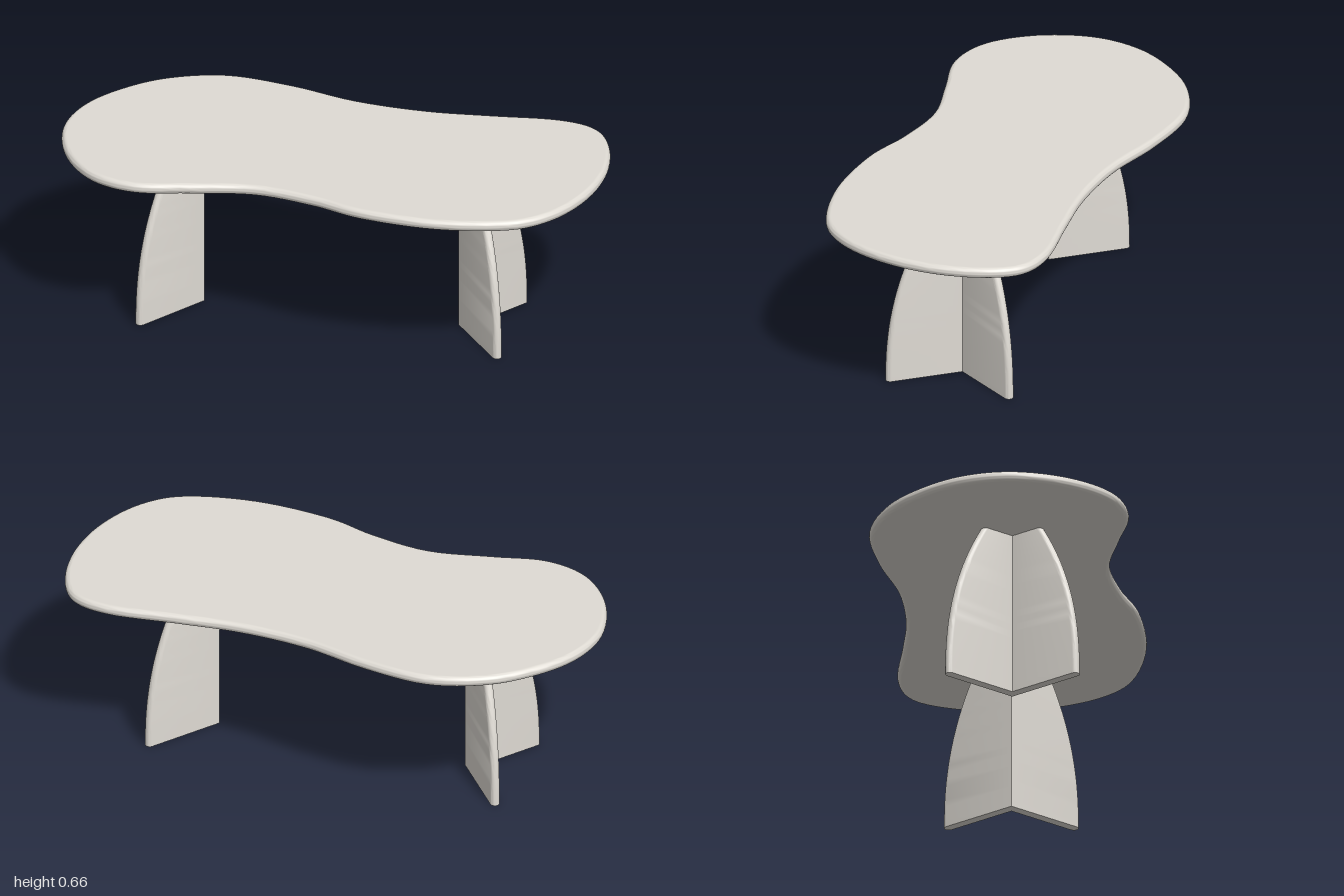
import * as THREE from 'three';
import { toCreasedNormals } from 'three/addons/utils/BufferGeometryUtils.js';

const stone = new THREE.MeshStandardMaterial({ color: 0xdfdbd4 });
stone.name = 'warm grey';

const TOP = 0.663, THICK = 0.04;

// Wavy slab with a fully rounded rim
function tabletop() {
  const outline = [
    [-1, 0.02], [-0.968, -0.16], [-0.87, -0.31], [-0.715, -0.44], [-0.5, -0.508], [-0.25, -0.473],
    [0, -0.4], [0.26, -0.373], [0.5, -0.385], [0.75, -0.402], [0.9, -0.355], [0.975, -0.22],
    [1, -0.03], [0.968, 0.17], [0.88, 0.345], [0.74, 0.453], [0.48, 0.5], [0.2, 0.473],
    [0, 0.405], [-0.22, 0.363], [-0.45, 0.398], [-0.65, 0.432], [-0.82, 0.375], [-0.945, 0.22],
  ].map(([x, z]) => new THREE.Vector3(x, z, 0));
  const curve = new THREE.CatmullRomCurve3(outline, true, 'catmullrom', 0.5);
  const points = curve.getPoints(144).slice(0, -1).map((p) => new THREE.Vector2(p.x, p.y));
  const r = 0.0195;
  let geo = new THREE.ExtrudeGeometry(new THREE.Shape(points), {
    depth: THICK - 2 * r, bevelThickness: r, bevelSize: r, bevelOffset: -r, bevelSegments: 6,
  });
  geo.rotateX(Math.PI / 2);
  geo.translate(0, TOP - r, 0);
  geo = toCreasedNormals(geo, 0.6);
  // keep the flat faces evenly shaded
  const pos = geo.attributes.position, nor = geo.attributes.normal;
  for (let i = 0; i < pos.count; i++) {
    if (pos.getY(i) > TOP - 1e-4) nor.setXYZ(i, 0, 1, 0);
    else if (pos.getY(i) < TOP - THICK + 1e-4) nor.setXYZ(i, 0, -1, 0);
  }
  const mesh = new THREE.Mesh(geo, stone);
  mesh.name = 'tabletop';
  return mesh;
}

// V-shaped cross-section opening toward +x, with rounded tips, at panel length len
function vSection(len) {
  const h = 0.017, a = 0.93, s = Math.sin(a), c = Math.cos(a), half = [];
  for (let i = 0; i <= 8; i++) {
    const t = -Math.PI / 2 + (Math.PI * i) / 8;
    const u = len + h * Math.cos(t), v = h * Math.sin(t);
    half.push([u * c + v * s, u * s - v * c]); // outer side first, inner side last
  }
  const mirrored = half.map(([x, z]) => [x, -z]).reverse();
  return [[-h / s, 0], ...half, [h / s, 0], ...mirrored].map(([x, z]) => new THREE.Vector2(x, z));
}

// Leg lofted from V sections that shorten toward the top
function leg() {
  const rows = 24, height = TOP - THICK / 2, verts = [], index = [];
  const foot = vSection(0.283), n = foot.length;
  for (let j = 0; j <= rows; j++) {
    const y = (height * j) / rows;
    const section = vSection(0.283 - 0.163 * Math.pow(y / 0.625, 2.3));
    section.forEach((p) => verts.push(p.x, y, p.y));
  }
  for (let j = 0; j < rows; j++) {
    for (let i = 0; i < n; i++) {
      const k = (i + 1) % n, a = j * n + i, b = j * n + k;
      index.push(a, b, a + n, b, b + n, a + n);
    }
  }
  // underside of the foot
  for (const [a, b, c] of THREE.ShapeUtils.triangulateShape(foot, [])) {
    const cross = (foot[b].x - foot[a].x) * (foot[c].y - foot[a].y)
      - (foot[b].y - foot[a].y) * (foot[c].x - foot[a].x);
    if (cross > 0) index.push(a, b, c);
    else index.push(a, c, b);
  }
  const geo = new THREE.BufferGeometry();
  geo.setAttribute('position', new THREE.Float32BufferAttribute(verts, 3));
  geo.setIndex(index);
  return toCreasedNormals(geo, 0.6);
}

export function createModel() {
  const group = new THREE.Group();
  group.name = 'table';
  group.add(tabletop());
  const geo = leg();
  for (const side of [1, -1]) {
    const mesh = new THREE.Mesh(geo, stone);
    mesh.name = side > 0 ? 'leftLeg' : 'rightLeg';
    mesh.position.set(-0.008 + side * 0.491, 0, 0.01);
    if (side < 0) mesh.rotation.y = Math.PI;
    group.add(mesh);
  }
  return group;
}
